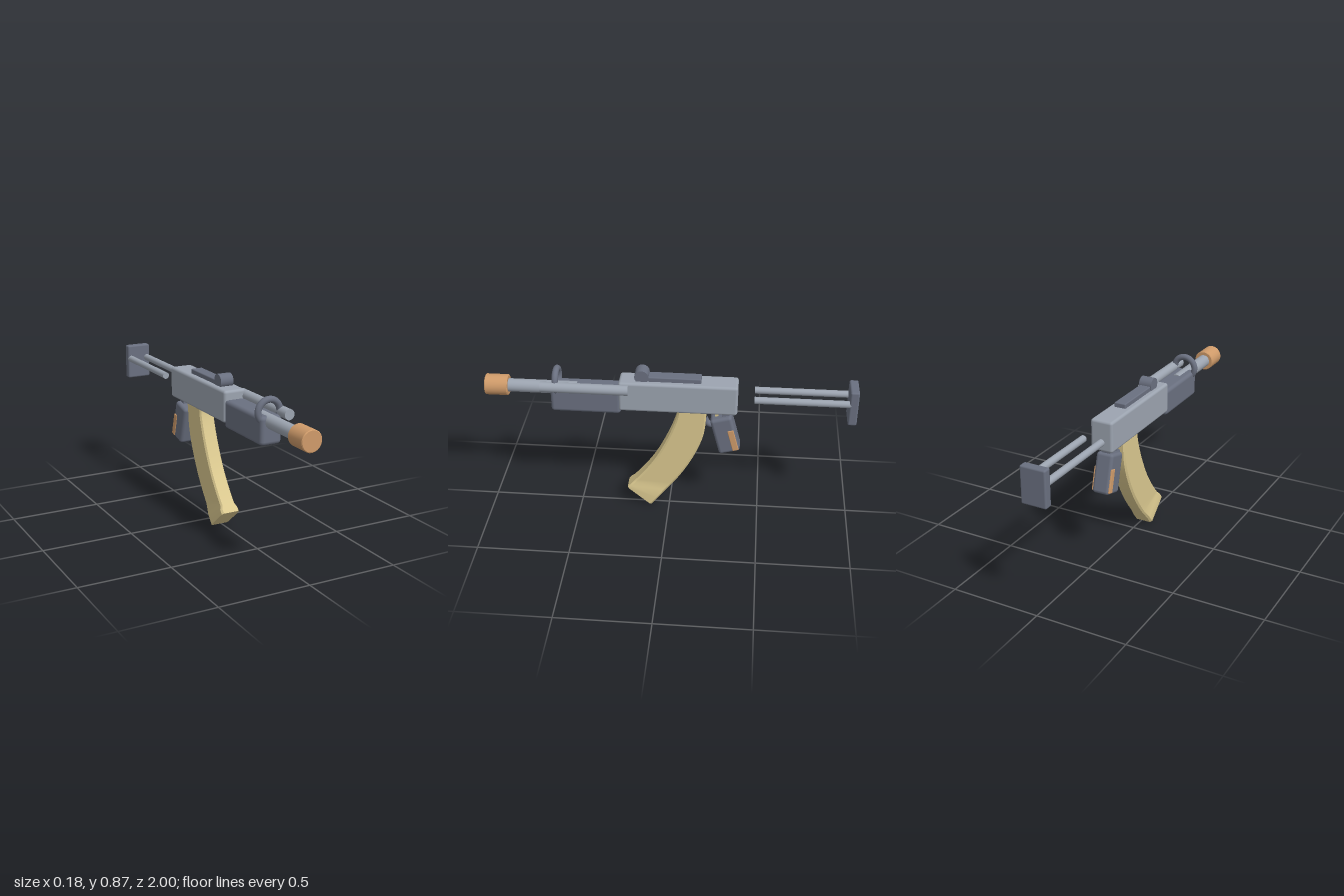
import * as THREE from 'three';
import { toCreasedNormals } from 'three/addons/utils/BufferGeometryUtils.js';
import { RoundedBoxGeometry } from 'three/addons/geometries/RoundedBoxGeometry.js';

const paint = (name, color) => Object.assign(new THREE.MeshStandardMaterial({ color }), { name });

// Curved magazine: chamfered rectangles swept between a front and a back edge
function magazineGeometry() {
  const curve = pts => new THREE.CatmullRomCurve3(pts.map(([z, y]) => new THREE.Vector3(0, y, z)));
  const front = curve([[-0.04, 0.66], [-0.045, 0.62], [-0.01, 0.5], [0.078, 0.315], [0.168, 0.19], [0.235, 0.117]]);
  const back = curve([[-0.2, 0.66], [-0.2, 0.6], [-0.188, 0.487], [-0.14, 0.353], [-0.056, 0.203], [0.101, 0.003]]);
  const ring = [[1, -0.88], [1, 0.88], [0.82, 1], [-0.82, 1], [-1, 0.88], [-1, -0.88], [-0.82, -1], [0.82, -1]];
  const steps = 20, n = ring.length, pos = [], index = [];
  for (let i = 0; i <= steps; i++) {
    const f = front.getPoint(i / steps), b = back.getPoint(i / steps);
    const mid = f.clone().add(b).multiplyScalar(0.5), half = f.clone().sub(b).multiplyScalar(0.5);
    const w = i >= steps - 1 ? 0.053 : 0.043; // flared foot
    for (const [x, u] of ring) pos.push(x * w, mid.y + half.y * u, mid.z + half.z * u);
    for (let j = 0; j < n && i < steps; j++) {
      const k = (j + 1) % n, a = i * n, c = a + n;
      index.push(a + j, a + k, c + k, a + j, c + k, c + j);
    }
  }
  const last = steps * n;
  for (let j = 1; j < n - 1; j++) index.push(last, last + j, last + j + 1, 0, j + 1, j);
  const geo = new THREE.BufferGeometry();
  geo.setAttribute('position', new THREE.Float32BufferAttribute(pos, 3));
  geo.setIndex(index);
  return toCreasedNormals(geo, 0.5);
}

export function createModel() {
  const steel = paint('lightSteel', 0x9ca4b0);
  const slate = paint('darkSlate', 0x6a7080);
  const tan = paint('tan', 0xdac88f);
  const copper = paint('copper', 0xcf9b6a);

  const model = new THREE.Group();
  model.name = 'rifle';
  const body = new THREE.Group();
  body.name = 'body';
  body.position.x = -0.011;
  model.add(body);

  const add = (name, geo, mat, x, y, z, parent = body) => {
    const mesh = new THREE.Mesh(geo, mat);
    mesh.name = name;
    mesh.position.set(x, y, z);
    parent.add(mesh);
    return mesh;
  };
  const box = (w, h, d, r) => new RoundedBoxGeometry(w, h, d, 2, r);
  const rod = (r, length) => new THREE.CylinderGeometry(r, r, length, 28).rotateX(Math.PI / 2);

  // Receiver and handguard
  add('receiver', box(0.128, 0.173, 0.638, 0.015), steel, 0, 0.721, -0.048);
  add('handguard', box(0.12, 0.15, 0.38, 0.02), slate, 0, 0.685, 0.45);

  // Barrel, muzzle with softened rims, and side tube
  add('barrel', rod(0.036, 0.4), steel, 0, 0.73, 0.7);
  const rim = [[0, -0.0625], [0.053, -0.0625], [0.057, -0.0585], [0.057, 0.0585], [0.053, 0.0625], [0, 0.0625]];
  const muzzle = new THREE.LatheGeometry(rim.map(p => new THREE.Vector2(...p)), 32).rotateX(Math.PI / 2);
  add('muzzle', toCreasedNormals(muzzle, 0.5), copper, 0, 0.73, 0.9375);
  add('sideTube', rod(0.028, 0.472), steel, 0.072, 0.77, 0.452);

  // Sights
  add('frontSightRing', new THREE.TorusGeometry(0.062, 0.0175, 14, 40), slate, 0, 0.777, 0.61);
  add('topRail', box(0.066, 0.04, 0.3, 0.006), slate, 0, 0.813, -0.02);
  add('rearSight', new THREE.CylinderGeometry(0.038, 0.038, 0.074, 28).rotateZ(Math.PI / 2), slate, 0, 0.833, 0.148);

  // Magazine
  add('magazine', magazineGeometry(), tan, 0, 0, 0);

  // Tilted grip with a copper inlay near its rear edge
  const grip = new THREE.Group();
  grip.name = 'grip';
  grip.position.set(0, 0.493, -0.306);
  grip.rotation.x = 0.26;
  body.add(grip);
  add('gripBody', box(0.1, 0.222, 0.12, 0.018), slate, 0, 0, 0, grip);
  add('gripInlay', box(0.108, 0.13, 0.034, 0.004), copper, 0, -0.035, -0.036, grip);
  add('gripMount', new THREE.BoxGeometry(0.05, 0.07, 0.04), slate, 0, 0.615, -0.305);

  // Trigger and guard
  add('trigger', new THREE.BoxGeometry(0.02, 0.06, 0.02), tan, 0, 0.61, -0.256);
  const guard = new THREE.CatmullRomCurve3([[0.58, -0.19], [0.55, -0.205], [0.537, -0.225], [0.54, -0.25]]
    .map(([y, z]) => new THREE.Vector3(0, y, z)));
  add('triggerGuard', new THREE.TubeGeometry(guard, 14, 0.017, 10), slate, 0, 0, 0);

  // Stock
  for (const side of [-1, 1]) add(side > 0 ? 'leftStockRod' : 'rightStockRod', rod(0.019, 0.51), steel, side * 0.052, 0.734, -0.71);
  add('buttPlate', box(0.142, 0.202, 0.048, 0.01), slate, 0, 0.714, -0.976);

  return model;
}
